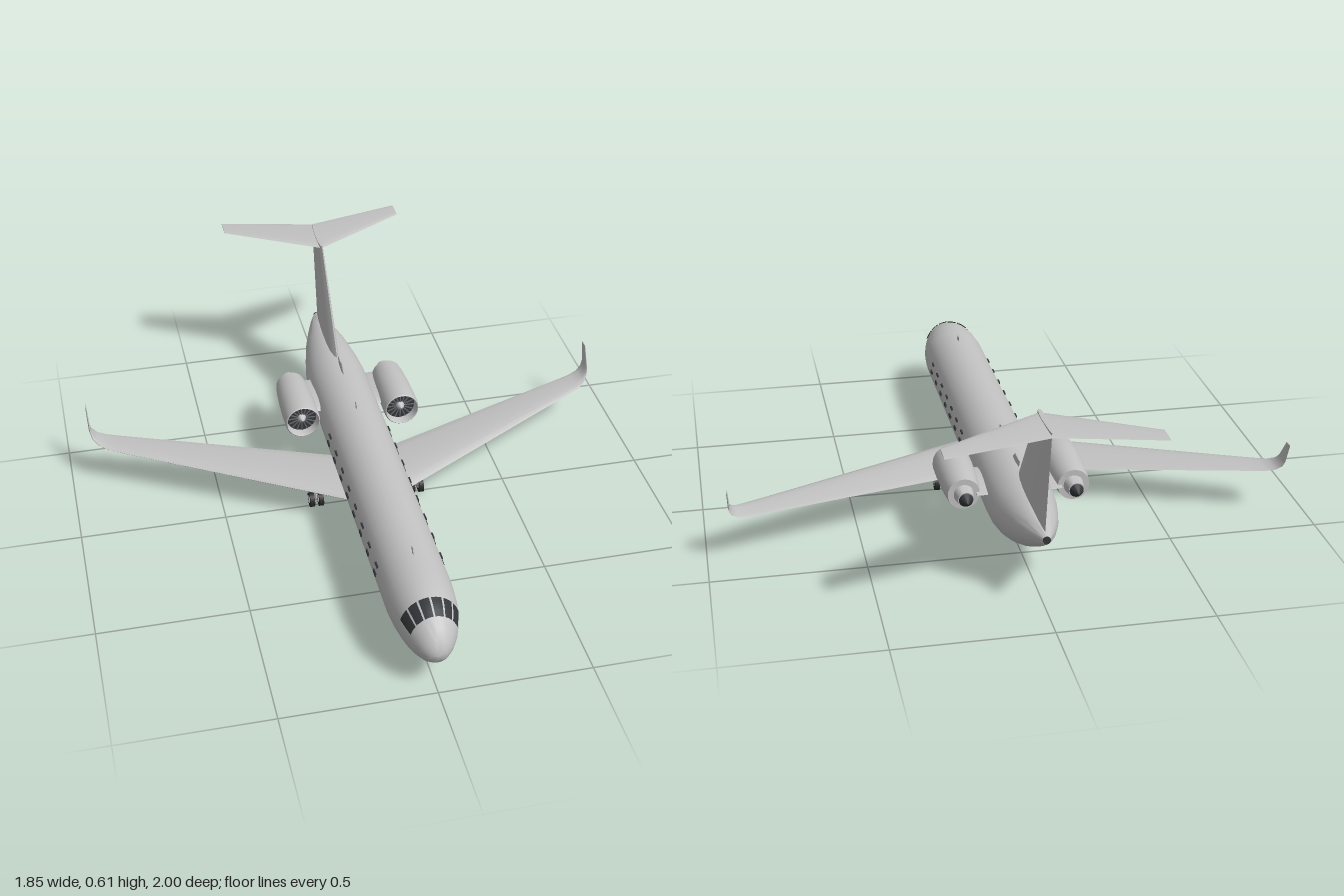
import * as THREE from 'three';
import { toCreasedNormals } from 'three/addons/utils/BufferGeometryUtils.js';

const material = (name, color, side = THREE.FrontSide) => {
  const m = new THREE.MeshStandardMaterial({ color, side });
  m.name = name;
  return m;
};

// Skin through equal-length rings of points, capped at both ends, always facing outward
function loft(rings, crease = 0.6) {
  const n = rings[0].length, pts = rings.flat(), index = [];
  for (let r = 0; r < rings.length - 1; r++) {
    for (let k = 0; k < n; k++) {
      const a = r * n + k, b = r * n + (k + 1) % n;
      index.push(a, b, a + n, b, b + n, a + n);
    }
  }
  const last = (rings.length - 1) * n;
  for (let k = 1; k < n - 1; k++) {
    index.push(0, k + 1, k, last, last + k, last + k + 1);
  }
  let volume = 0;
  for (let i = 0; i < index.length; i += 3) {
    const [a, b, c] = [pts[index[i]], pts[index[i + 1]], pts[index[i + 2]]];
    volume += a.dot(b.clone().cross(c));
  }
  if (volume < 0) index.reverse();
  const g = new THREE.BufferGeometry().setFromPoints(pts);
  g.setIndex(index);
  return toCreasedNormals(g, crease);
}

// Aerofoil section; tilt turns its thickness direction from vertical towards the side
function foil(x, y, lead, trail, thick, tilt = 0, side = 1) {
  const ring = [];
  for (let k = 0; k < 16; k++) {
    const t = (k / 16) * Math.PI * 2, u = (1 - Math.cos(t)) / 2;
    const h = thick * 0.5 * Math.sin(t) * (1.35 - 0.8 * u);
    ring.push(new THREE.Vector3(side * (x - Math.sin(tilt) * h), y + Math.cos(tilt) * h,
      lead + (trail - lead) * u));
  }
  return ring;
}

// Fuselage stations: z, bottom, top, half width
const stations = [
  [1, 0.148, 0.152, 0.002], [0.993, 0.126, 0.178, 0.025], [0.98, 0.108, 0.2, 0.042],
  [0.96, 0.092, 0.226, 0.058], [0.93, 0.079, 0.249, 0.075], [0.9, 0.07, 0.265, 0.086],
  [0.87, 0.065, 0.275, 0.094], [0.82, 0.061, 0.283, 0.104], [0.75, 0.06, 0.286, 0.11],
  [-0.44, 0.06, 0.286, 0.11], [-0.5, 0.063, 0.286, 0.108], [-0.56, 0.075, 0.285, 0.102],
  [-0.62, 0.094, 0.282, 0.091], [-0.69, 0.125, 0.277, 0.076], [-0.76, 0.162, 0.269, 0.054],
  [-0.82, 0.198, 0.26, 0.031], [-0.86, 0.224, 0.25, 0.012],
];

// Point on the fuselage; angle is measured from the top
function hull(z, angle, lift = 0) {
  let i = 0;
  while (i < stations.length - 2 && z < stations[i + 1][0]) i++;
  const A = stations[i], B = stations[i + 1], t = (A[0] - z) / (A[0] - B[0]);
  const [, lo, hi, w] = A.map((v, k) => v + (B[k] - v) * t);
  return new THREE.Vector3((w + lift) * Math.sin(angle),
    (lo + hi) / 2 + ((hi - lo) / 2 + lift) * Math.cos(angle), z + lift * 0.5);
}

// Cockpit pane: a small patch following the fuselage
function panePatch(a0, a1) {
  const n = 4, pts = [], index = [];
  for (let i = 0; i <= n; i++) {
    for (let j = 0; j <= n; j++) {
      pts.push(hull(0.93 - 0.06 * i / n, THREE.MathUtils.degToRad(a0 + (a1 - a0) * j / n), 0.003));
    }
  }
  for (let i = 0; i < n; i++) {
    for (let j = 0; j < n; j++) {
      const a = i * (n + 1) + j, b = a + n + 1;
      index.push(a, a + 1, b, a + 1, b + 1, b);
    }
  }
  const g = new THREE.BufferGeometry().setFromPoints(pts);
  g.setIndex(index);
  g.computeVertexNormals();
  return g;
}

export function createModel() {
  const model = new THREE.Group();
  const skin = material('light grey skin', 0xc2c2c2);
  const dark = material('dark grey', 0x34373a, THREE.DoubleSide);
  const rubber = material('tyre black', 0x2a2a2b);
  const steel = material('fan steel', 0x66696c);

  const add = (name, geometry, mat, x = 0, y = 0, z = 0, parent = model) => {
    const mesh = new THREE.Mesh(geometry, mat);
    mesh.name = name;
    mesh.position.set(x, y, z);
    parent.add(mesh);
    return mesh;
  };
  const box = (w, h, d) => new THREE.BoxGeometry(w, h, d);
  const lathe = (points, seg = 32) => toCreasedNormals(
    new THREE.LatheGeometry(points.map(p => new THREE.Vector2(...p)), seg).rotateX(Math.PI / 2), 0.6);

  // Fuselage and tail exhaust
  const rings = stations.map(([z]) =>
    Array.from({ length: 36 }, (_, k) => hull(z, (k / 36) * Math.PI * 2)));
  add('fuselage', loft(rings), skin);
  add('tailExhaust', new THREE.CylinderGeometry(0.012, 0.012, 0.012, 16).rotateX(Math.PI / 2),
    dark, 0, 0.238, -0.859);

  // Tail fin and high tailplane
  add('tailFin', loft([
    foil(0, 0.235, -0.44, -0.835, 0.036, Math.PI / 2),
    foil(0, 0.612, -0.73, -0.91, 0.016, Math.PI / 2),
  ]), skin);
  add('tailplane', loft([
    foil(-0.33, 0.602, -0.925, -1, 0.005),
    foil(0, 0.602, -0.735, -0.92, 0.013),
    foil(0.33, 0.602, -0.925, -1, 0.005),
  ]), skin);

  // Aerials along the spine and belly, and the dorsal scoop
  const aerial = (name, y0, y1, lead, trail, sweep) => add(name, loft([
    foil(0, y0, lead, trail, 0.007, Math.PI / 2),
    foil(0, y1, lead - sweep, trail - sweep * 0.4, 0.005, Math.PI / 2),
  ]), skin);
  aerial('frontAerial', 0.28, 0.304, 0.68, 0.65, 0.018);
  aerial('rearAerial', 0.28, 0.304, -0.135, -0.165, 0.018);
  aerial('bellyAerial', 0.065, 0.036, 0.255, 0.225, 0.018);
  aerial('dorsalScoop', 0.28, 0.312, -0.355, -0.45, 0.045);

  for (const side of [1, -1]) {
    // Wing curving up into its winglet
    add('wing', loft([
      foil(0, 0.107, 0.19, -0.095, 0.036, 0, side),
      foil(0.11, 0.113, 0.13, -0.13, 0.031, 0.05, side),
      foil(0.82, 0.149, -0.25, -0.359, 0.013, 0.06, side),
      foil(0.865, 0.152, -0.274, -0.374, 0.011, 0.15, side),
      foil(0.895, 0.159, -0.297, -0.385, 0.009, 0.5, side),
      foil(0.914, 0.174, -0.322, -0.395, 0.008, 1.05, side),
      foil(0.921, 0.192, -0.34, -0.4, 0.006, 1.45, side),
      foil(0.925, 0.262, -0.39, -0.422, 0.004, 1.52, side),
    ]), skin);

    // Rear engine
    const engine = new THREE.Group();
    engine.name = 'engine';
    engine.position.set(side * 0.18, 0.208, 0);
    model.add(engine);
    add('nacelle', lathe([[0.03, -0.458], [0.052, -0.458], [0.057, -0.42], [0.061, -0.36],
      [0.063, -0.29], [0.063, -0.225], [0.061, -0.213], [0.058, -0.21], [0.055, -0.215],
      [0.052, -0.25]]), skin, 0, 0, 0, engine);
    add('nozzle', lathe([[0, -0.5], [0.026, -0.5], [0.034, -0.45]]), skin, 0, 0, 0, engine);
    add('exhaustCone', lathe([[0, -0.534], [0.024, -0.499], [0, -0.499]], 20), dark, 0, 0, 0, engine);
    add('fanDisc', new THREE.CircleGeometry(0.054, 32), dark, 0, 0, -0.242, engine);
    for (let k = 0; k < 16; k++) {
      const blade = add('fanBlade', box(0.034, 0.004, 0.003).translate(0.033, 0, 0), steel,
        0, 0, -0.238, engine);
      blade.rotation.z = (k / 16) * Math.PI * 2;
    }
    add('fanSpinner', lathe([[0.016, -0.241], [0.011, -0.228], [0, -0.218]], 20), skin, 0, 0, 0, engine);
    add('enginePylon', loft([
      foil(0.08, 0.205, -0.27, -0.475, 0.024, 0, side),
      foil(0.14, 0.208, -0.27, -0.475, 0.022, 0, side),
    ]), skin);

    // Cabin windows: a slim upper and a deeper lower dark strip
    for (let k = 0; k < 8; k++) {
      const z = 0.612 - k * 0.102;
      add('windowTop', box(0.01, 0.006, 0.028), dark, side * 0.103, 0.211, z);
      add('windowBottom', box(0.01, 0.011, 0.028), dark, side * 0.1085, 0.181, z);
    }

    // Cockpit panes
    for (const [a0, a1] of [[2, 22], [26, 45], [49, 71]]) {
      add('cockpitPane', panePatch(side * a0, side * a1), dark);
    }
  }

  // Landing gear: a pair of wheels on a slim strut
  const gear = (name, x, z, radius, gap, top) => {
    const g = new THREE.Group();
    g.name = name;
    g.position.set(x, radius, z);
    model.add(g);
    for (const s of [1, -1]) {
      add('tyre', new THREE.CylinderGeometry(radius, radius, 0.016, 24).rotateZ(Math.PI / 2),
        rubber, s * gap, 0, 0, g);
      add('wheelHub', new THREE.CylinderGeometry(radius * 0.5, radius * 0.5, 0.019, 16)
        .rotateZ(Math.PI / 2), skin, s * gap, 0, 0, g);
    }
    add('axle', new THREE.CylinderGeometry(0.004, 0.004, gap * 2, 10).rotateZ(Math.PI / 2), steel, 0, 0, 0, g);
    const height = top - radius;
    add('strut', new THREE.CylinderGeometry(0.004, 0.004, height, 10), skin, 0, height / 2, 0, g);
  };
  gear('noseGear', 0, 0.745, 0.025, 0.014, 0.08);
  for (const side of [1, -1]) {
    gear('mainGear', side * 0.18, 0, 0.028, 0.016, 0.118);
    add('gearDoor', box(0.004, 0.04, 0.04), skin, side * 0.212, 0.092, 0);
  }
  return model;
}
